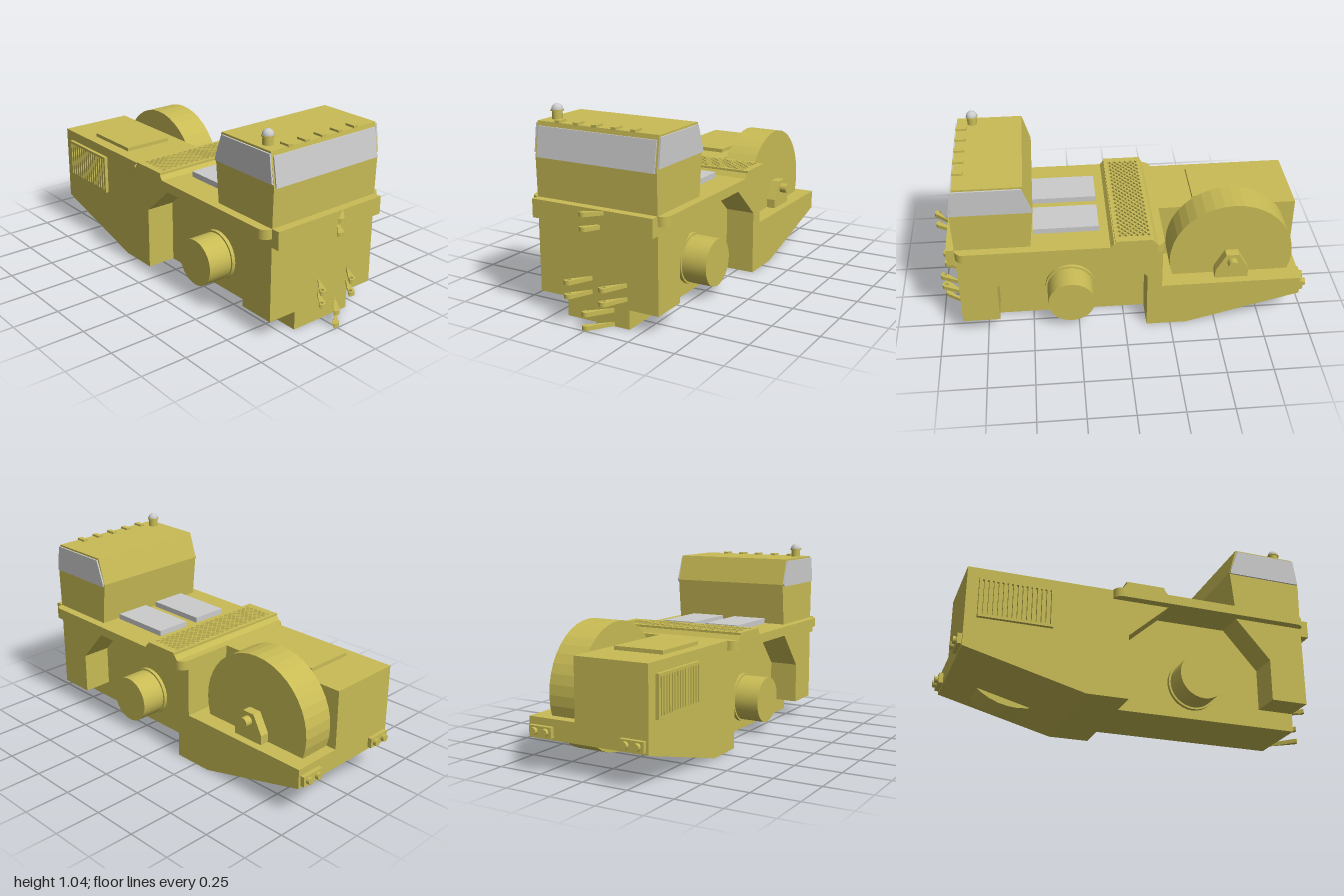
import * as THREE from 'three';

const yellow = new THREE.MeshStandardMaterial({ color: 0xc8bb55, flatShading: true });
const yellowSmooth = new THREE.MeshStandardMaterial({ color: 0xc8bb55 });
const grey = new THREE.MeshStandardMaterial({ color: 0xcccccc, flatShading: true });
const greySmooth = new THREE.MeshStandardMaterial({ color: 0xcccccc });

const toShape = (pts) => new THREE.Shape(pts.map(([x, y]) => new THREE.Vector2(x, y)));

export function createModel() {
  const model = new THREE.Group();

  const add = (name, geometry, material = yellow) => {
    const mesh = new THREE.Mesh(geometry, material);
    mesh.name = name;
    model.add(mesh);
    return mesh;
  };
  // Box given by its limits
  const box = (name, x0, x1, y0, y1, z0, z1, material) =>
    add(name, new THREE.BoxGeometry(x1 - x0, y1 - y0, z1 - z0), material)
      .position.set((x0 + x1) / 2, (y0 + y1) / 2, (z0 + z1) / 2);
  // Side outline (x, y) carried from z0 to z1
  const slab = (name, pts, z0, z1, material) => {
    const g = new THREE.ExtrudeGeometry(toShape(pts), { depth: z1 - z0, bevelEnabled: false });
    add(name, g.translate(0, 0, z0), material);
  };
  // Plan outline (x, -z) raised from y0 to y1
  const plate = (name, shape, y0, y1, material) => {
    const g = new THREE.ExtrudeGeometry(shape, { depth: y1 - y0, bevelEnabled: false, curveSegments: 8 });
    return add(name, g.rotateX(-Math.PI / 2).translate(0, y0, 0), material);
  };
  // Cylinder lying along z
  const rod = (name, x, y, z0, z1, r, segments = 32, material = yellowSmooth) => {
    const g = new THREE.CylinderGeometry(r, r, Math.abs(z1 - z0), segments).rotateX(Math.PI / 2);
    add(name, g, material).position.set(x, y, (z0 + z1) / 2);
  };

  // Chassis: layered slabs leave the side recesses and the drum bay open
  const tail = [[-0.96, 0.165], [-0.34, 0]];
  const fullTop = [[-0.2, 0.54], [-0.2, 0.59], [-0.96, 0.59]];
  const bayTop = [[-0.2, 0.54], [-0.2, 0.27], [-0.96, 0.27]];
  const coreNose = [[0.88, 0], [0.88, 0.54]];
  const recessEdge = [[-0.12, 0], [-0.12, 0.345], [0.1, 0.54]];
  const nose = [[0.49, 0.54], [0.68, 0.325], [0.68, 0.1], [0.88, 0.1], [0.88, 0.54]];
  slab('chassisCore', [...tail, ...coreNose, ...fullTop], -0.07, 0.18);
  slab('chassisCoreBay', [...tail, ...coreNose, ...bayTop], -0.18, -0.07);
  slab('engineSide', [...tail, ...recessEdge, ...fullTop], 0.18, 0.343);
  slab('drumBaySide', [...tail, ...recessEdge, ...bayTop], -0.343, -0.18);
  slab('noseSide', nose, 0.18, 0.343);
  slab('noseSide', nose, -0.343, -0.18);

  // Wheel hubs
  for (const s of [1, -1]) {
    rod('hubFlange', 0.29, 0.185, s * 0.18, s * 0.2, 0.137);
    rod('hub', 0.29, 0.185, s * 0.18, s * 0.34, 0.127);
  }

  // Deck with rounded corners
  const [dx0, dx1, dz, dr] = [-0.205, 0.88, 0.39, 0.045];
  const deck = new THREE.Shape();
  deck.absarc(dx1 - dr, dz - dr, dr, 0, Math.PI / 2);
  deck.absarc(dx0 + dr, dz - dr, dr, Math.PI / 2, Math.PI);
  deck.absarc(dx0 + dr, dr - dz, dr, Math.PI, Math.PI * 1.5);
  deck.absarc(dx1 - dr, dr - dz, dr, Math.PI * 1.5, Math.PI * 2);
  plate('deck', deck, 0.54, 0.59);
  box('bumper', 0.88, 0.925, 0.495, 0.59, -0.343, 0.343);

  // Raised walkway with a diamond mesh top
  slab('walkwayBase', [[-0.165, 0.59], [0.08, 0.59], [0.062, 0.614], [-0.148, 0.614]], -0.39, 0.39);
  const mesh = toShape([[-0.148, -0.39], [0.062, -0.39], [0.055, 0.39], [-0.141, 0.39]]);
  const [cols, rows, px, pz] = [6, 20, 0.03, 0.036];
  for (let j = 0; j < rows * 2 - 1; j++) {
    const odd = j % 2;
    for (let i = 0; i < cols - odd; i++) {
      const cx = -0.043 + (i - (cols - 1 - odd) / 2) * px;
      const cz = (j - (rows - 1)) * pz / 2;
      mesh.holes.push(toShape([[cx - 0.012, cz], [cx, cz + 0.0145], [cx + 0.012, cz], [cx, cz - 0.0145]]));
    }
  }
  plate('walkwayMesh', mesh, 0.614, 0.626);

  // Deck pads and engine hatch
  box('deckPad', 0.13, 0.475, 0.59, 0.62, -0.24, -0.045, grey);
  box('deckPad', 0.13, 0.475, 0.59, 0.62, 0.03, 0.23, grey);
  box('engineHatch', -0.73, -0.4, 0.59, 0.61, 0, 0.28);

  // Side grille: back, frame and upright slats
  box('grilleBack', -0.9, -0.52, 0.32, 0.535, 0.34, 0.346);
  box('grilleFrame', -0.9, -0.52, 0.52, 0.535, 0.343, 0.362);
  box('grilleFrame', -0.9, -0.52, 0.32, 0.335, 0.343, 0.362);
  for (let i = 0; i < 16; i++) {
    const x = -0.9 + i * (0.365 / 15);
    box('grilleSlat', x, x + 0.015, 0.33, 0.525, 0.343, 0.362);
  }

  // Drum, axle and bearing bracket
  rod('drum', -0.585, 0.375, -0.25, -0.07, 0.335, 40, yellow);
  rod('drumAxle', -0.585, 0.375, -0.34, -0.25, 0.027, 20);
  slab('bearingBracket', [[-0.675, 0.26], [-0.495, 0.26], [-0.495, 0.32], [-0.55, 0.42], [-0.62, 0.42], [-0.675, 0.32]], -0.3, -0.25);

  // Cab with windows
  slab('cab', [[0.49, 0.59], [0.88, 0.59], [0.885, 0.79], [0.858, 0.963], [0.51, 0.963], [0.467, 0.82]], -0.343, 0.343);
  const sidePane = [[0.472, 0.81], [0.88, 0.81], [0.86, 0.953], [0.517, 0.953], [0.47, 0.825]];
  slab('sideWindow', sidePane, 0.343, 0.352, grey);
  slab('sideWindow', sidePane, -0.352, -0.343, grey);
  slab('frontWindow', [[0.88, 0.79], [0.892, 0.79], [0.869, 0.94], [0.855, 0.94]], -0.333, 0.333, grey);
  for (let i = -2; i <= 2; i++) {
    const z = 0.012 + i * 0.107;
    box('roofRib', 0.805, 0.862, 0.96, 0.974, z - 0.014, z + 0.014);
  }

  // Beacon
  const upright = (name, r, y0, y1) =>
    add(name, new THREE.CylinderGeometry(r, r, y1 - y0, 24), yellowSmooth).position.set(0.775, (y0 + y1) / 2, 0.287);
  upright('beaconPost', 0.026, 0.96, 1.005);
  upright('beaconRim', 0.032, 1.003, 1.01);
  const dome = new THREE.SphereGeometry(0.029, 24, 10, 0, Math.PI * 2, 0, Math.PI / 2);
  add('beaconLamp', dome, greySmooth).position.set(0.775, 1.01, 0.287);

  // Towing lugs: tapered plates with a pin hole
  const lug = (x0, z, halfWidth, y0, y1) => {
    const s = new THREE.Shape();
    s.moveTo(x0, -halfWidth);
    s.absarc(0.977, 0, 0.023, -Math.PI / 3, Math.PI / 3);
    s.lineTo(x0, halfWidth);
    const hole = new THREE.Path();
    hole.absarc(0.977, 0, 0.011, 0, Math.PI * 2, true);
    s.holes.push(hole);
    plate('towLug', s, y0, y1).position.z = z;
  };
  lug(0.92, 0, 0.08, 0.567, 0.589);
  lug(0.88, 0, 0.08, 0.495, 0.517);
  for (const z of [0.1, -0.1]) {
    lug(0.88, z, 0.07, 0.213, 0.235);
    lug(0.88, z, 0.07, 0.143, 0.165);
  }
  lug(0.88, 0, 0.095, 0.072, 0.095);
  lug(0.88, 0, 0.095, 0.002, 0.024);

  // Tail lamps
  for (const s of [1, -1]) {
    box('tailLampBox', -0.982, -0.955, 0.178, 0.232, s * 0.263 - 0.066, s * 0.263 + 0.066);
    for (const dzLamp of [-0.033, 0.033]) {
      const g = new THREE.CylinderGeometry(0.019, 0.019, 0.02, 16).rotateZ(Math.PI / 2);
      add('tailLamp', g, yellowSmooth).position.set(-0.99, 0.205, s * 0.263 + dzLamp);
    }
  }

  return model;
}
